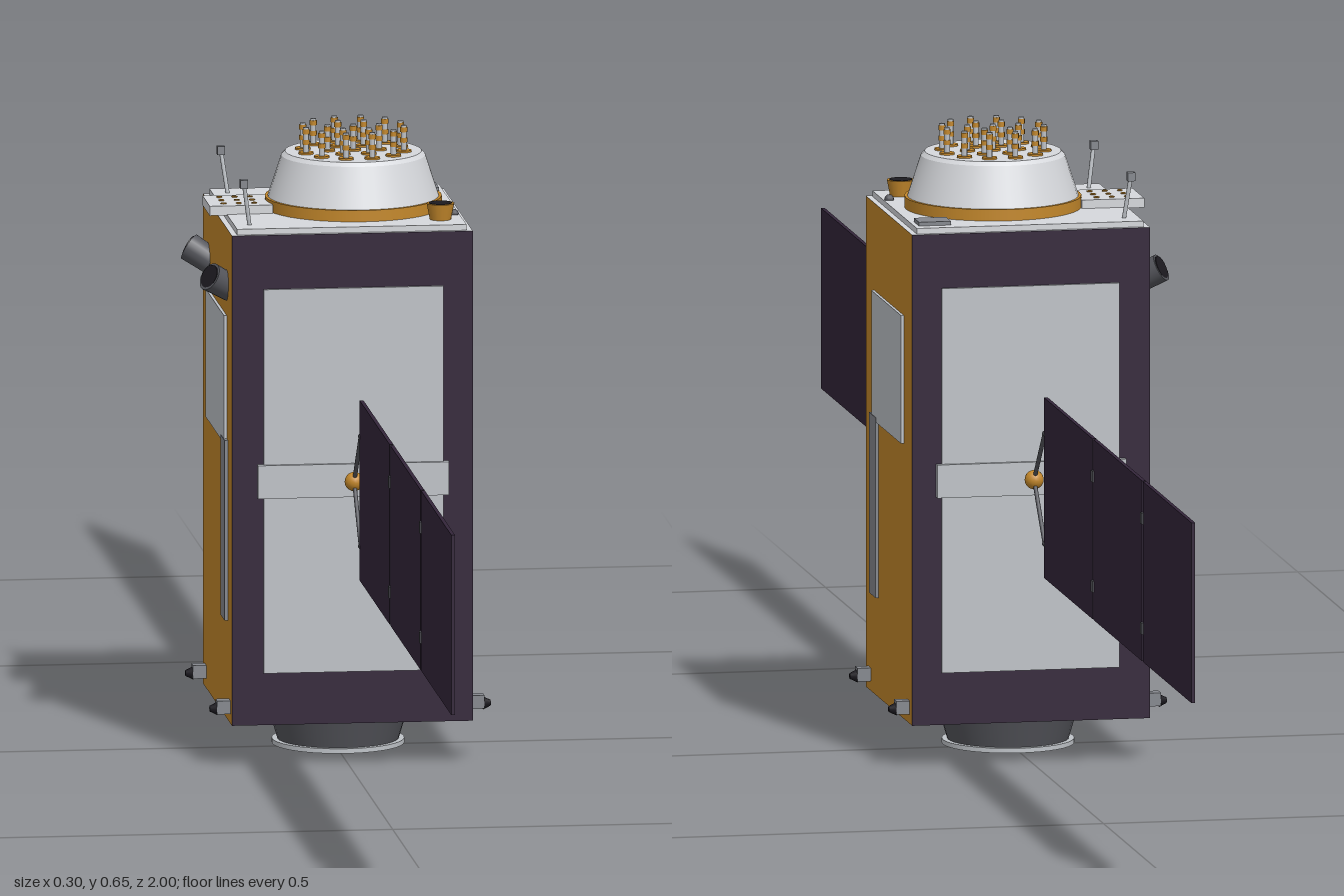
import * as THREE from 'three';

const mat = (name, color, side = THREE.FrontSide) => {
  const m = new THREE.MeshStandardMaterial({ color, side });
  m.name = name;
  return m;
};

export function createModel() {
  const gold = mat('gold foil', 0xc4882b);
  const purple = mat('dark solar cell', 0x33253a);
  const silver = mat('radiator grey', 0xbfc3c8);
  const white = mat('white paint', 0xd6d8dc);
  const grey = mat('mid grey', 0x85888e);
  const steel = mat('dark steel', 0x55565c);
  const black = mat('black', 0x1c1a20);

  const model = new THREE.Group();
  model.name = 'satellite';
  const CX = 0.003; // body axis

  const add = (name, geo, material, x, y, z, parent = model) => {
    const m = new THREE.Mesh(geo, material);
    m.name = name;
    m.position.set(x, y, z);
    parent.add(m);
    return m;
  };
  const box = (name, material, w, h, d, x, y, z, parent) =>
    add(name, new THREE.BoxGeometry(w, h, d), material, x, y, z, parent);
  // Upright cylinder or cone between heights y0 and y1
  const cyl = (name, material, rBottom, rTop, y0, y1, x, z, parent, seg = 16) =>
    add(name, new THREE.CylinderGeometry(rTop, rBottom, y1 - y0, seg), material, x, (y0 + y1) / 2, z, parent);
  // Cylinder from point a to point b
  const rod = (name, material, a, b, r0, r1 = r0, seg = 10) => {
    const p = new THREE.Vector3(...a), q = new THREE.Vector3(...b);
    const dir = q.clone().sub(p);
    const mid = p.clone().add(q).multiplyScalar(0.5);
    const m = add(name, new THREE.CylinderGeometry(r1, r0, dir.length(), seg), material, mid.x, mid.y, mid.z);
    m.quaternion.setFromUnitVectors(new THREE.Vector3(0, 1, 0), dir.normalize());
    return m;
  };

  // Main body: gold sides, dark front and back, white top
  box('body', [gold, gold, white, gold, purple, purple], 0.252, 0.517, 0.25, CX, 0.3035, 0);
  box('topPlate', white, 0.24, 0.006, 0.24, CX, 0.565, 0);

  // Radiators, wing mounts and solar wings on front and back
  for (const s of [1, -1]) {
    box('radiator', silver, 0.188, 0.405, 0.004, 0.004, 0.3025, s * 0.126);
    box('wingMountBand', silver, 0.2, 0.035, 0.008, 0.0035, 0.3025, s * 0.128);
    rod('wingMount', steel, [CX, 0.303, s * 0.13], [CX, 0.303, s * 0.14], 0.006);
    add('wingHub', new THREE.SphereGeometry(0.01, 16, 12), gold, CX, 0.303, s * 0.141);
    for (const v of [1, -1]) {
      rod('yokeArm', steel, [CX, 0.303 + v * 0.004, s * 0.145], [CX, 0.303 + v * 0.058, s * 0.198], 0.0022);
      rod('yokeFoot', steel, [CX, 0.303 + v * 0.058, s * 0.198], [CX, 0.303 + v * 0.058, s * 0.208], 0.003);
    }
    for (let i = 0; i < 3; i++) {
      const z0 = 0.204 + i * 0.267;
      box('solarPanel', purple, 0.004, 0.19, 0.262, CX, 0.305, s * (z0 + 0.131));
      if (i) for (const y of [0.245, 0.361])
        box('panelHinge', steel, 0.007, 0.012, 0.009, CX, y, s * (z0 - 0.0025));
    }
  }

  // Side plates on the gold walls, and corner thrusters
  for (const s of [1, -1]) {
    const wall = CX + s * 0.126;
    box('sideRadiator', silver, 0.006, 0.135, 0.16, wall, 0.4025, 0);
    box('sideStrip', grey, 0.007, 0.19, 0.035, wall, 0.245, 0.073);
    for (const z of [0.105, -0.105]) {
      box('thrusterBlock', grey, 0.014, 0.014, 0.014, wall + s * 0.007, 0.062, z);
      rod('thrusterNozzle', black, [wall + s * 0.013, 0.06, z], [wall + s * 0.021, 0.06, z], 0.007, 0.003);
    }
  }

  // Launch adapter and engine under the body
  cyl('adapterRing', gold, 0.074, 0.075, 0.039, 0.046, CX, 0, model, 40);
  cyl('adapterCone', steel, 0.063, 0.073, 0.007, 0.041, CX, 0, model, 40);
  cyl('adapterLip', silver, 0.069, 0.069, 0.003, 0.008, CX, 0, model, 40);
  cyl('engineOpening', black, 0.025, 0.025, 0, 0.005, CX, 0, model, 24);

  // Round antenna drum on top
  const DX = 0.019;
  cyl('drumBase', gold, 0.092, 0.092, 0.567, 0.58, DX, 0, model, 40);
  const profile = [[0.089, 0.58], [0.075, 0.623], [0.071, 0.627]];
  profile.slice(0, -1).forEach(([r, y], i) =>
    cyl('drum', white, r, profile[i + 1][0], y, profile[i + 1][1], DX, 0, model, 40));

  // Helix elements: one in the centre, rings of six and twelve
  [[1, 0, 0], [6, 0.027, 0], [12, 0.053, Math.PI / 12]].forEach(([n, r, start]) => {
    for (let i = 0; i < n; i++) {
      const a = start + i / n * Math.PI * 2;
      const e = new THREE.Group();
      e.name = 'antennaElement';
      e.position.set(DX + r * Math.cos(a), 0, r * Math.sin(a));
      model.add(e);
      cyl('elementBase', gold, 0.008, 0.008, 0.627, 0.629, 0, 0, e);
      cyl('elementRod', silver, 0.003, 0.003, 0.629, 0.655, 0, 0, e, 8);
      cyl('elementCollar', gold, 0.0038, 0.0038, 0.637, 0.642, 0, 0, e, 8);
      cyl('elementTip', gold, 0.0038, 0.0038, 0.648, 0.653, 0, 0, e, 8);
    }
  });

  // Patch antenna overhanging the top edge
  box('patchAntenna', white, 0.066, 0.01, 0.064, -0.102, 0.572, 0);
  for (let i = 0; i < 9; i++)
    cyl('patchDot', gold, 0.003, 0.003, 0.5765, 0.578, -0.119 + (i % 3) * 0.016, (Math.floor(i / 3) - 1) * 0.019, model, 8);

  // Small horn, sensor plate and dome on the top deck
  cyl('horn', gold, 0.011, 0.0145, 0.567, 0.585, 0.1, 0.085);
  cyl('hornMouth', black, 0.012, 0.012, 0.584, 0.5855, 0.1, 0.085);
  box('sensorPlate', grey, 0.034, 0.004, 0.028, 0.101, 0.57, -0.092);
  add('sensorDome', new THREE.SphereGeometry(0.005, 10, 8), steel, 0.117, 0.569, 0.06);

  // Whip antennas and star trackers on the right edge
  for (const s of [1, -1]) {
    rod('whipAntenna', silver, [-0.101, 0.567, s * 0.095], [-0.107, 0.609, s * 0.1], 0.0022);
    box('whipTip', grey, 0.008, 0.009, 0.008, -0.1075, 0.612, s * 0.1);
    rod('starTracker', steel, [-0.118, 0.498, s * 0.076], [-0.142, 0.513, s * 0.088], 0.014, 0.015, 20);
    rod('starTrackerLens', black, [-0.141, 0.5125, s * 0.0875], [-0.1427, 0.5134, s * 0.0884], 0.0125, 0.0125, 20);
  }
  return model;
}
